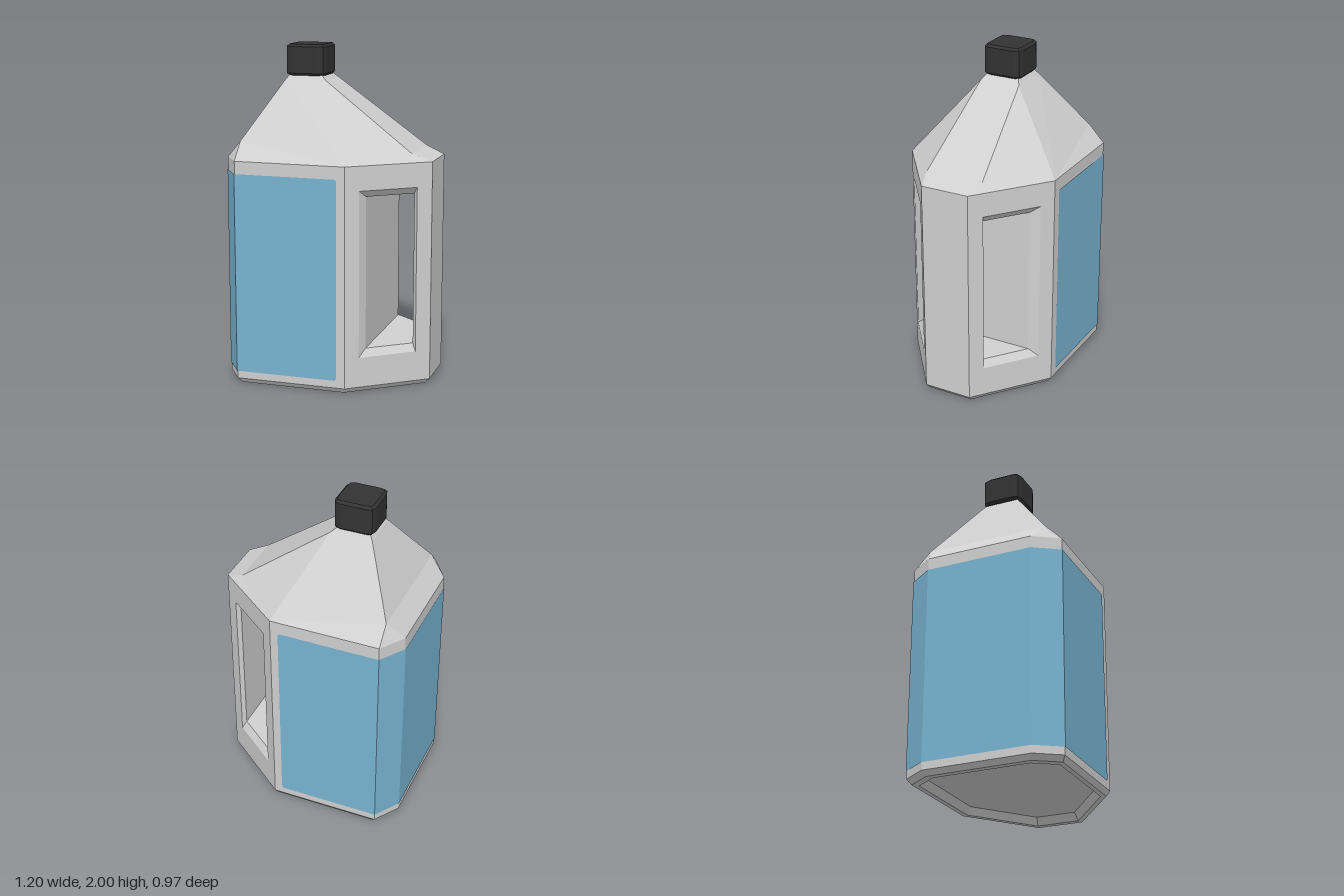
import * as THREE from 'three';

const paint = (name, color) => {
  const m = new THREE.MeshStandardMaterial({ color });
  m.name = name;
  return m;
};

// Collects flat convex polygons, each turned to face along a given direction.
class Facets {
  constructor() { this.data = []; }
  add(points, outward) {
    let p = points.map(a => new THREE.Vector3(...a));
    const n = new THREE.Vector3();
    p.forEach((a, i) => n.add(a.clone().cross(p[(i + 1) % p.length])));
    if (n.dot(new THREE.Vector3(...outward)) < 0) p = [p[0], ...p.slice(1).reverse()];
    for (let i = 1; i < p.length - 1; i++)
      for (const v of [p[0], p[i], p[i + 1]]) this.data.push(v.x, v.y, v.z);
  }
  // The polygon and its mirror image across z = 0.
  pair(points, [dx, dy, dz]) {
    this.add(points, [dx, dy, dz]);
    this.add(points.map(([x, y, z]) => [x, y, -z]), [dx, dy, -dz]);
  }
  mesh(name, material) {
    const g = new THREE.BufferGeometry();
    g.setAttribute('position', new THREE.Float32BufferAttribute(this.data, 3));
    g.computeVertexNormals();
    const m = new THREE.Mesh(g, material);
    m.name = name;
    return m;
  }
}

export function createModel() {
  const group = new THREE.Group();
  group.name = 'jug';
  const plastic = paint('light grey plastic', 0xd0d0d0);
  const blue = paint('blue label', 0x78b3d1);
  const black = paint('black cap', 0x333333);

  // Half plan of the body, from the flat side round to the handle side (x, z)
  const plan = [[-0.6, 0.33], [-0.5, 0.48], [0.17, 0.48], [0.6, 0.15]];
  const ring = [...plan, ...plan.map(([x, z]) => [x, -z]).reverse()];
  const low = 0.03, high = 1.345;
  const wall = ([ax, az], [bx, bz], y0, y1) =>
    [[ax, y0, az], [bx, y0, bz], [bx, y1, bz], [ax, y1, az]];

  // Body walls
  const walls = new Facets();
  walls.add(wall(ring[7], ring[0], low, high), [-1, 0, 0]);
  walls.add(wall(ring[3], ring[4], low, high), [1, 0, 0]);
  walls.pair(wall(plan[0], plan[1], low, high), [-1, 0, 1]);
  walls.pair(wall(plan[1], plan[2], low, high), [0, 0, 1]);

  // Slanted walls, framed around the grip opening
  const slant = x => 0.48 - (x - 0.17) * 0.33 / 0.43;
  const rect = (x0, x1, y0, y1, z) =>
    [[x0, y0, z(x0)], [x1, y0, z(x1)], [x1, y1, z(x1)], [x0, y1, z(x0)]];
  const frame = rect(0.17, 0.6, low, high, slant);
  const mouth = rect(0.24, 0.525, 0.21, 1.2, slant);
  const throat = rect(0.265, 0.503, 0.255, 1.16, x => slant(x) - 0.038);
  const inward = [[0, 1, 0], [-1, 0, 0], [0, -1, 0], [1, 0, 0]];
  const grip = new Facets();
  for (let i = 0; i < 4; i++) {
    const j = (i + 1) % 4;
    walls.pair([frame[i], frame[j], mouth[j], mouth[i]], [1, 0, 1]);
    grip.pair([mouth[i], mouth[j], throat[j], throat[i]], inward[i]);
    const back = ([x, y, z]) => [x, y, -z];
    grip.add([throat[i], throat[j], back(throat[j]), back(throat[i])], inward[i]);
  }
  group.add(walls.mesh('bodyWalls', plastic), grip.mesh('gripOpening', plastic));

  // Chamfered foot with a recessed underside
  const base = new Facets();
  const levels = [[1, low], [0.955, 0], [0.89, 0], [0.83, 0.045]];
  const at = (k, i) => {
    const [s, y] = levels[k], [x, z] = ring[i % 8];
    return [x * s, y, z * s];
  };
  for (let i = 0; i < 8; i++) {
    const [ax, az] = ring[i], [bx, bz] = ring[(i + 1) % 8];
    const mx = ax + bx, mz = az + bz;
    const facing = [[mx, -0.2, mz], [0, -1, 0], [-mx, -0.2, -mz]];
    facing.forEach((d, k) => base.add([at(k, i), at(k, i + 1), at(k + 1, i + 1), at(k + 1, i)], d));
  }
  base.add(ring.map((_, i) => at(3, i)), [0, -1, 0]);
  group.add(base.mesh('base', plastic));

  // Shoulder rising to the off-centre neck
  const sideLow = [-0.6, high, 0.33], cornerLow = [-0.5, high, 0.48];
  const bendLow = [0.17, high, 0.48], gripLow = [0.6, high, 0.15];
  const cornerTop = [-0.5, 1.45, 0.38], gripTop = [0.485, 1.39, 0.18];
  const neckL = [-0.31, 1.79, 0.125], neckR = [-0.055, 1.79, 0.125];
  const flip = ([x, y, z]) => [x, y, -z];
  const across = (a, b) => [a, b, flip(b), flip(a)];
  const shoulder = new Facets();
  shoulder.pair([bendLow, neckR, neckL, cornerTop, cornerLow], [0, 1, 1]);
  shoulder.pair([bendLow, gripLow, gripTop, neckR], [1, 1, 1]);
  shoulder.pair([sideLow, cornerLow, cornerTop], [-1, 1, 1]);
  shoulder.add(across(sideLow, cornerTop), [-1, 1, 0]);
  shoulder.add(across(cornerTop, neckL), [-1, 1, 0]);
  shoulder.add(across(neckR, gripTop), [1, 1, 0]);
  shoulder.add(across(gripTop, gripLow), [1, 1, 0]);
  group.add(shoulder.mesh('shoulder', plastic));

  // Short neck below the cap
  const neck = new Facets();
  const rimL = [-0.285, 1.825, 0.1], rimR = [-0.095, 1.825, 0.1];
  neck.pair([neckL, neckR, rimR, rimL], [0, 1, 1]);
  neck.add(across(neckL, rimL), [-1, 1, 0]);
  neck.add(across(neckR, rimR), [1, 1, 0]);
  group.add(neck.mesh('neck', plastic));

  // Label wrapping the front, flat side and back, just proud of the walls
  const label = new Facets();
  const y0 = 0.075, y1 = 1.27, c = 0.012, e = 0.12, z = 0.484;
  const side = [-0.604, 0.331], corner = [-0.502, z];
  label.pair([[-0.502, y0, z], [e - c, y0, z], [e, y0 + c, z], [e, y1 - c, z],
    [e - c, y1, z], [-0.502, y1, z]], [0, 0, 1]);
  label.pair(wall(side, corner, y0, y1), [-1, 0, 1]);
  label.add(wall(side, [side[0], -side[1]], y0, y1), [-1, 0, 0]);
  group.add(label.mesh('label', blue));

  // Square cap with softened corners
  const h = 0.108, r = 0.03, outline = new THREE.Shape();
  outline.moveTo(-h + r, -h);
  outline.lineTo(h - r, -h).quadraticCurveTo(h, -h, h, -h + r);
  outline.lineTo(h, h - r).quadraticCurveTo(h, h, h - r, h);
  outline.lineTo(-h + r, h).quadraticCurveTo(-h, h, -h, h - r);
  outline.lineTo(-h, -h + r).quadraticCurveTo(-h, -h, -h + r, -h);
  const capShape = new THREE.ExtrudeGeometry(outline, {
    depth: 0.157, bevelSize: 0.015, bevelThickness: 0.014, bevelSegments: 1, curveSegments: 2,
  });
  capShape.rotateX(-Math.PI / 2);
  const cap = new THREE.Mesh(capShape, black);
  cap.position.set(-0.19, 1.829, 0);
  cap.name = 'cap';
  group.add(cap);

  return group;
}
